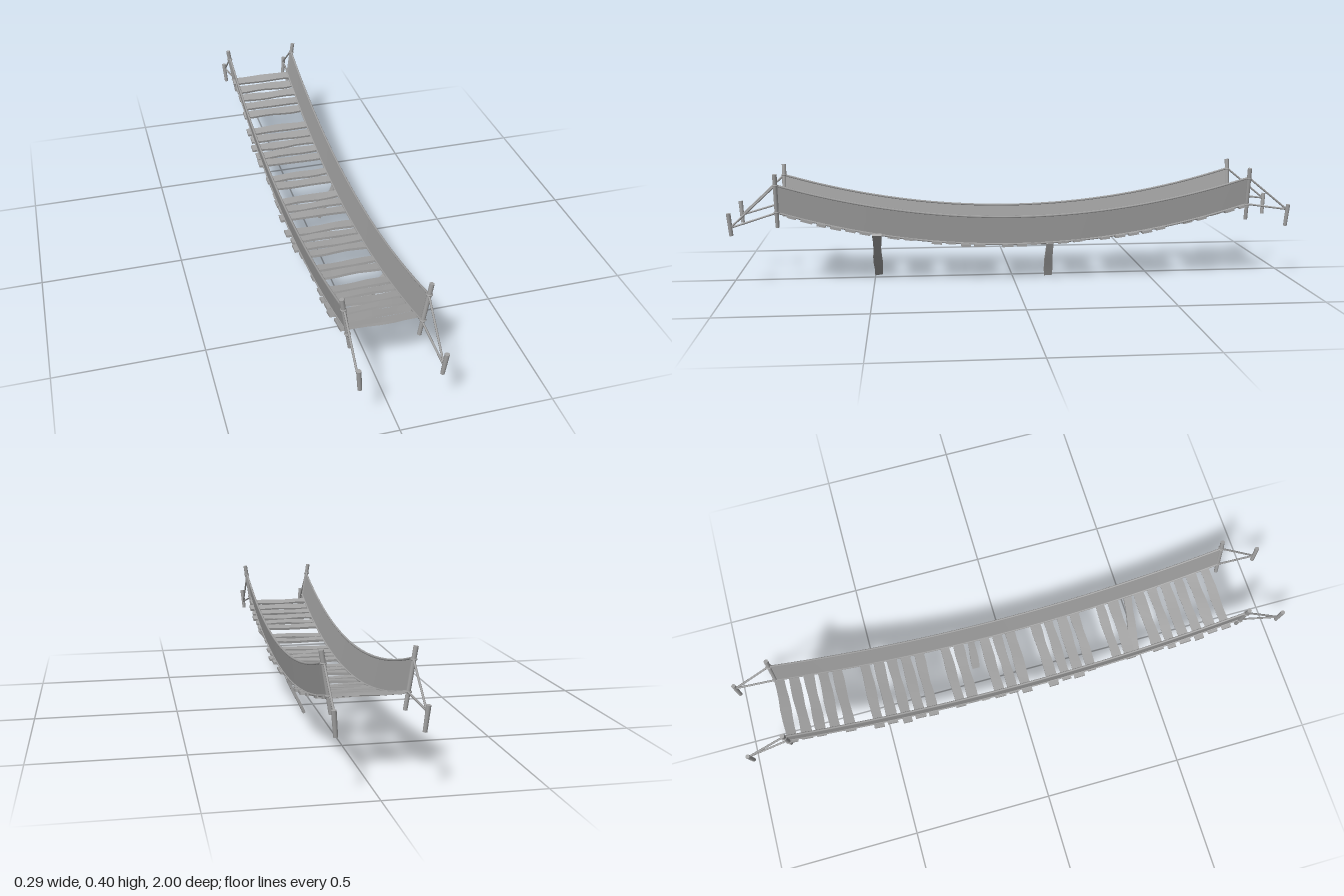
import * as THREE from 'three';

const wood = new THREE.MeshStandardMaterial({ color: 0xa3a3a3 });
wood.name = 'grey';
wood.side = THREE.DoubleSide;

const FRONT = 0.83, BACK = -0.843;
// Sagging curve shared by deck, ropes and side panels
const sag = (z) => 0.13 * (z / 0.84) ** 2;
const slope = (z) => 2 * 0.13 * z / 0.84 ** 2;
const lower = (side, z) => new THREE.Vector3(side * 0.115, 0.143 + sag(z), z);
const upper = (side, z) => new THREE.Vector3(side * 0.131, 0.244 + sag(z) * 0.98, z);

function add(group, name, geometry) {
  const mesh = new THREE.Mesh(geometry, wood);
  mesh.name = name;
  group.add(mesh);
  return mesh;
}

// Straight round pole between two points
function pole(group, name, a, b, rTop, rBottom, sides = 8) {
  const dir = b.clone().sub(a);
  const mesh = add(group, name, new THREE.CylinderGeometry(rTop, rBottom, dir.length(), sides));
  mesh.position.copy(a).add(b).multiplyScalar(0.5);
  mesh.quaternion.setFromUnitVectors(new THREE.Vector3(0, 1, 0), dir.normalize());
  return mesh;
}

// Rough board along x with slightly wavy edges and an optional bend
function board(length, depth, seed, thick = 0.009, bend = 0) {
  const g = new THREE.BoxGeometry(length, thick, depth, 6, 1, 1);
  const p = g.attributes.position;
  for (let i = 0; i < p.count; i++) {
    const x = p.getX(i), s = Math.sign(p.getZ(i));
    p.setY(i, p.getY(i) + 0.0015 * Math.sin(x * 32 + seed * 2.3) + bend * (1 - (2 * x / length) ** 2));
    p.setZ(i, p.getZ(i) + 0.0018 * Math.sin(x * 38 + seed * 4.1 + s));
  }
  g.computeVertexNormals();
  return g;
}

// Board hanging between two points of an xy plane
function hangingBoard(group, name, x1, y1, x2, y2, z, depth, bend) {
  const length = Math.hypot(x2 - x1, y2 - y1);
  const mesh = add(group, name, board(length, depth, z * 10, 0.01, bend));
  mesh.position.set((x1 + x2) / 2, (y1 + y2) / 2, z);
  mesh.rotation.z = Math.atan2(y2 - y1, x2 - x1);
}

// Thin netting surface between the lower and upper rope
function panelGeometry(side) {
  const n = 24, pos = [], idx = [];
  for (let i = 0; i <= n; i++) {
    const z = BACK + (FRONT - BACK) * i / n;
    pos.push(...lower(side, z).toArray(), ...upper(side, z).toArray());
    if (i < n) {
      const a = 2 * i;
      if (side > 0) idx.push(a, a + 1, a + 2, a + 1, a + 3, a + 2);
      else idx.push(a, a + 2, a + 1, a + 1, a + 2, a + 3);
    }
  }
  const g = new THREE.BufferGeometry();
  g.setAttribute('position', new THREE.Float32BufferAttribute(pos, 3));
  g.setIndex(idx);
  g.computeVertexNormals();
  return g;
}

function ropeGeometry(fn, side) {
  const pts = [];
  for (let i = 0; i <= 16; i++) pts.push(fn(side, BACK + (FRONT - BACK) * i / 16));
  return new THREE.TubeGeometry(new THREE.CatmullRomCurve3(pts), 40, 0.004, 6);
}

export function createModel() {
  const model = new THREE.Group();
  model.name = 'ropeBridge';

  // Deck planks, with gaps where planks are missing or broken
  const deck = new THREE.Group();
  deck.name = 'deck';
  model.add(deck);
  const gaps = [5, 11, 14, 18, 23, 26];
  for (let i = 0; i <= 32; i++) {
    if (gaps.includes(i)) continue;
    const z = -0.83 + i * 0.0503;
    const plank = add(deck, 'plank', board(0.25 + 0.014 * Math.sin(i * 5.7), 0.036 + 0.003 * Math.sin(i * 3.1), i));
    plank.position.set(0.004 * Math.sin(i * 2.9), 0.14 + sag(z), z);
    plank.rotation.set(-Math.atan(slope(z)), 0.01 * Math.sin(i * 1.7), 0.012 * Math.sin(i * 4.3));
  }

  // Broken planks dangling below the deck
  hangingBoard(model, 'longHangingPlank', -0.037, 0.008, 0.129, 0.187, 0.488, 0.03, -0.005);
  hangingBoard(model, 'shortHangingPlank', 0.058, 0.014, 0.117, 0.145, -0.126, 0.028, 0);
  hangingBoard(model, 'brokenStub', -0.117, 0.14, -0.086, 0.099, -0.13, 0.028, 0);

  for (const side of [1, -1]) {
    // Side netting and its ropes
    add(model, 'sidePanel', panelGeometry(side));
    add(model, 'handRope', ropeGeometry(upper, side));
    add(model, 'deckRope', ropeGeometry(lower, side));

    for (const end of [1, -1]) {
      const z = end > 0 ? FRONT : BACK;
      const tie = end > 0 ? 0.222 : 0.255;
      // Leaning end post and ground stake
      pole(model, 'post', new THREE.Vector3(side * 0.11, 0.217, z),
        new THREE.Vector3(side * 0.139, 0.407, z), 0.008, 0.007);
      pole(model, 'stake', new THREE.Vector3(side * 0.127, 0.194, end * 0.986),
        new THREE.Vector3(side * 0.134, 0.273, end * 0.992), 0.008, 0.007);
      // Guy ropes tying the post to the stake
      const anchor = new THREE.Vector3(side * 0.13, tie, end * 0.988);
      pole(model, 'guyRope', upper(side, z), anchor, 0.0035, 0.0035, 6);
      pole(model, 'guyRope', lower(side, z), anchor, 0.0035, 0.0035, 6);
      // Lashings where the ropes meet the post
      for (const y of [0.272, 0.368]) {
        const lashing = add(model, 'lashing', new THREE.TorusGeometry(0.008, 0.003, 6, 10));
        lashing.position.set(side * (0.11 + (y - 0.217) * 0.153), y, z);
        lashing.rotation.x = Math.PI / 2;
      }
    }
  }
  return model;
}
